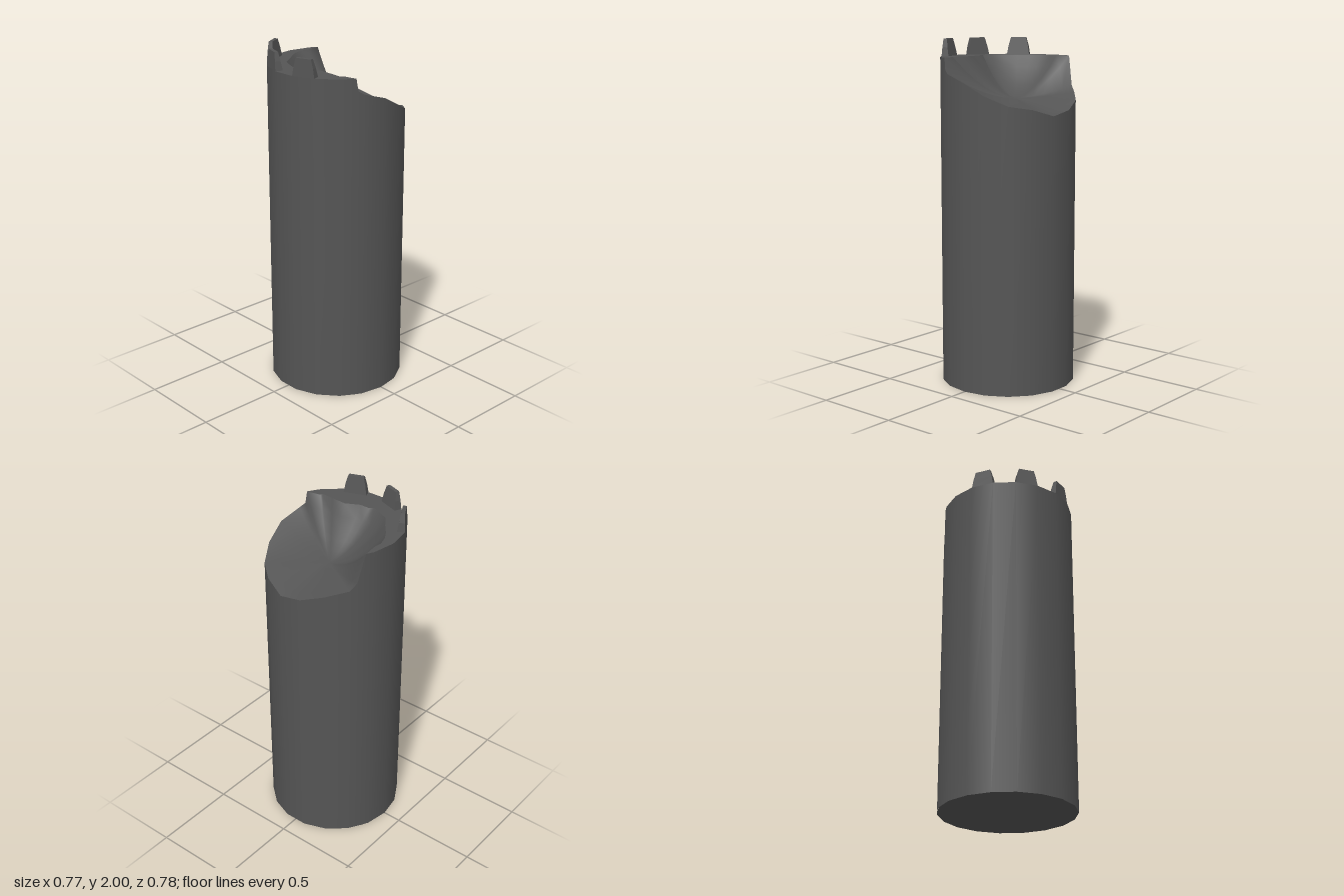
import * as THREE from 'three';

const R = 0.391, SIDES = 18, TOP = 1.9;

// point on the 18-sided outline: k counts corners from +z towards +x
const corner = (k, y) => {
  const a = (k * 2 * Math.PI) / SIDES;
  return [R * Math.sin(a), y, R * Math.cos(a)];
};

function indexed(positions, index, normals) {
  const g = new THREE.BufferGeometry();
  g.setAttribute('position', new THREE.Float32BufferAttribute(positions, 3));
  g.setIndex(index);
  if (normals) g.setAttribute('normal', new THREE.Float32BufferAttribute(normals, 3));
  else g.computeVertexNormals();
  return g;
}

export function createModel() {
  const group = new THREE.Group();
  group.name = 'ruinedTower';
  const stone = new THREE.MeshStandardMaterial({ color: 0x555555 });
  stone.name = 'dark stone';
  const add = (name, geometry) => {
    const mesh = new THREE.Mesh(geometry, stone);
    mesh.name = name;
    group.add(mesh);
    return mesh;
  };

  // broken part of the rim, from the front left round to the back right
  const heights = [1.81, 1.77, 1.70, 1.645, 1.625, 1.585, 1.61, 1.655, 1.69];
  const broken = [
    [-0.175, TOP, 0.346], [-0.165, 1.83, 0.351],
    ...heights.map((y, i) => corner(i - 1, y)),
    [0.215, 1.73, -0.321], [0.175, TOP, -0.346],
  ];
  // intact part of the rim, continuing back to the start
  const intact = [];
  for (let k = 8; k <= 16; k++) intact.push(corner(k, TOP));

  // outer wall with rounded shading
  const rim = [...broken, ...intact];
  const n = rim.length, pos = [], nor = [], idx = [];
  rim.forEach(([x, y, z], i) => {
    const r = Math.hypot(x, z), j = (i + 1) % n;
    pos.push(x, 0, z, x, y, z);
    nor.push(x / r, 0, z / r, x / r, 0, z / r);
    idx.push(2 * i, 2 * j, 2 * j + 1, 2 * i, 2 * j + 1, 2 * i + 1);
  });
  add('wall', indexed(pos, idx, nor));

  // underside
  const base = new THREE.CircleGeometry(R, SIDES, Math.PI / 2);
  base.rotateX(Math.PI / 2);
  add('base', base);

  // inner edge of the flat ledge, back to front
  const inner = [
    [0.09, -0.335], [0.04, -0.34], [-0.02, -0.32], [-0.07, -0.29], [-0.13, -0.24],
    [-0.2, -0.19], [-0.235, -0.12], [-0.255, -0.07], [-0.235, -0.05], [-0.235, 0.01],
    [-0.195, 0.09], [-0.2, 0.18], [-0.207, 0.26], [-0.19, 0.26],
  ].map(([x, z]) => [x, TOP, z]);

  // flat ledge around the surviving top
  const outline = [broken[broken.length - 1], ...intact, broken[0], ...[...inner].reverse()];
  const ledge = new THREE.ShapeGeometry(
    new THREE.Shape(outline.map(([x, , z]) => new THREE.Vector2(x, -z))));
  ledge.rotateX(-Math.PI / 2).translate(0, TOP, 0);
  add('ledge', ledge);

  // hollow of rubble: rings from the middle out to the broken edge
  const edge = [...broken, ...inner], m = edge.length, rings = 6;
  const mid = [0.05, 1.665, 0];
  const bp = [...mid], bi = [];
  for (let r = 1; r <= rings; r++) {
    const f = r / rings;
    edge.forEach(([x, y, z], i) => {
      const g = Math.pow(f, y > mid[1] ? 1.8 : 1.2);
      bp.push(mid[0] + (x - mid[0]) * f, mid[1] + (y - mid[1]) * g, mid[2] + (z - mid[2]) * f);
      const j = (i + 1) % m, b = 1 + (r - 1) * m, a = b - m;
      if (r === 1) bi.push(0, b + i, b + j);
      else bi.push(a + i, b + i, b + j, a + i, b + j, a + j);
    });
  }
  add('brokenHollow', indexed(bp, bi));

  // battlements: blocks narrowing upwards, flush with the outer wall
  const h = 0.1, depth = 0.043;
  const block = new THREE.BoxGeometry(0.134, h, depth, 1, 2, 1).translate(0, h / 2, -depth / 2);
  const p = block.attributes.position;
  for (let i = 0; i < p.count; i++) {
    const t = p.getY(i) / h;
    p.setX(i, p.getX(i) * (t > 0.9 ? 0.68 : t > 0.1 ? 0.88 : 1));
    p.setZ(i, p.getZ(i) * (1 - 0.5 * t) - 0.004 * t);
  }
  const flat = block.toNonIndexed();
  flat.computeVertexNormals();
  const apothem = R * Math.cos(Math.PI / SIDES);
  [-70, -110, -150].forEach((deg, i) => {
    const a = THREE.MathUtils.degToRad(deg);
    const mesh = add('battlement' + (i + 1), flat);
    mesh.position.set(apothem * Math.sin(a), TOP, apothem * Math.cos(a));
    mesh.rotation.y = a;
  });
  return group;
}
